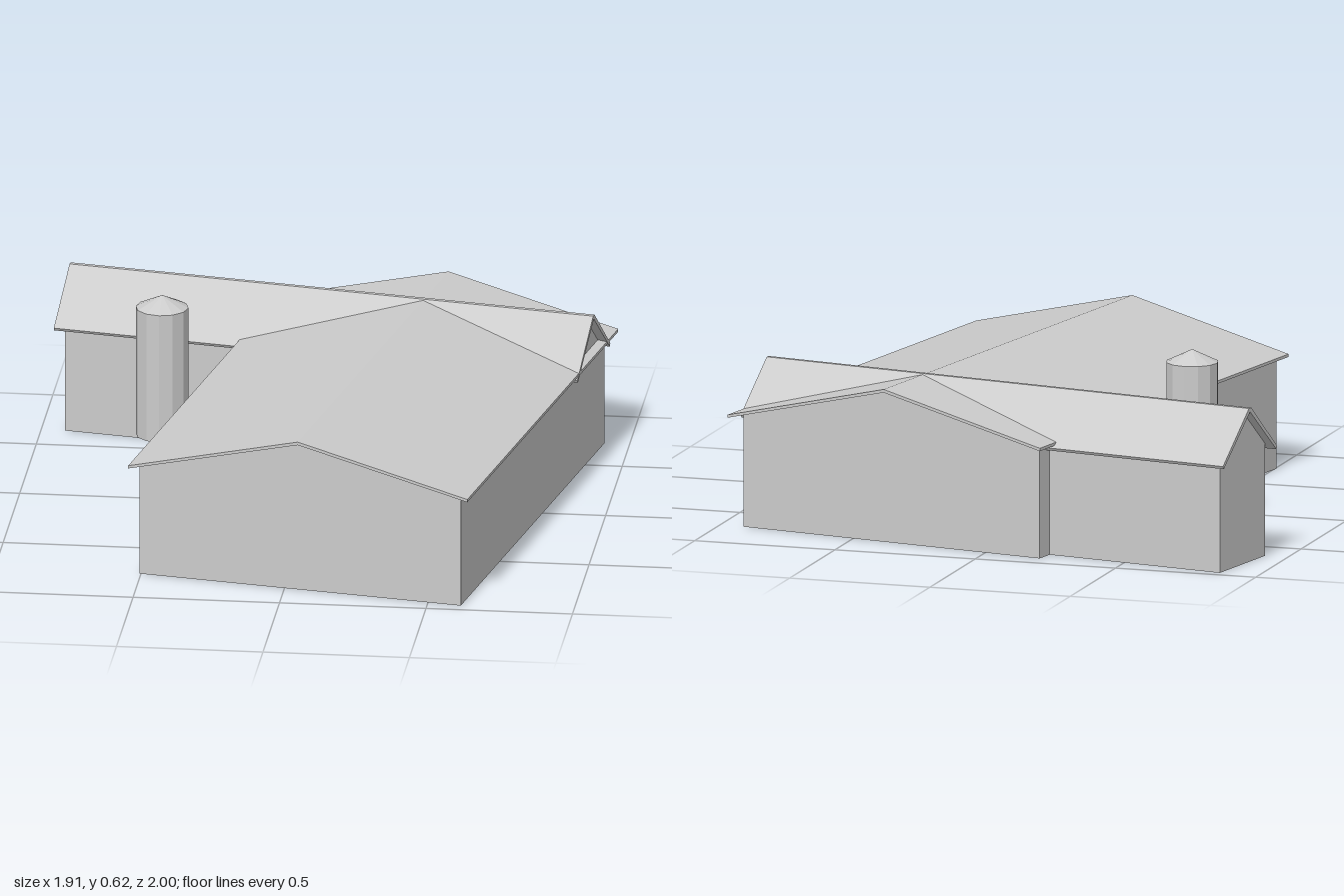
import * as THREE from 'three';

const mat = new THREE.MeshStandardMaterial({ color: 0xcccccc, flatShading: true, side: THREE.DoubleSide });

function mesh(name, geometry, parent) {
  const m = new THREE.Mesh(geometry, mat);
  m.name = name;
  parent.add(m);
  return m;
}

const shape = (pts) => new THREE.Shape(pts.map(([x, y]) => new THREE.Vector2(x, y)));

// Gable end: flat wall with a pointed top, facing +z
function gableWall(halfWidth, bottom, eave, peak) {
  return new THREE.ShapeGeometry(shape([
    [-halfWidth, bottom], [halfWidth, bottom], [halfWidth, eave], [0, peak], [-halfWidth, eave]]));
}

// Thin folded roof, running along z from z0 to z1
function roof(profile, z0, z1) {
  const g = new THREE.ExtrudeGeometry(shape(profile), { depth: z1 - z0, bevelEnabled: false });
  return g.translate(0, 0, z0);
}

export function createModel() {
  const model = new THREE.Group();
  model.name = 'farmBuilding';

  // The whole house stands turned by ten degrees
  const house = new THREE.Group();
  house.name = 'house';
  house.position.set(0.207, 0, 0.0025);
  house.rotation.y = -THREE.MathUtils.degToRad(10.1);
  model.add(house);

  // Main hall, open below
  const hw = 0.5685, front = 0.87, back = -0.84, eave = 0.388, peak = 0.53;
  mesh('hallFrontWall', gableWall(hw, 0, eave, peak), house).position.z = front;
  const rear = mesh('hallBackWall', gableWall(hw, 0, eave, peak), house);
  rear.position.z = back;
  rear.rotation.y = Math.PI;
  for (const s of [-1, 1]) {
    const wall = mesh(s > 0 ? 'hallLeftWall' : 'hallRightWall',
      new THREE.PlaneGeometry(front - back, eave), house);
    wall.position.set(s * hw, eave / 2, (front + back) / 2);
    wall.rotation.y = s * Math.PI / 2;
  }
  mesh('hallRoof', roof([
    [-0.6, 0.385], [0, 0.53], [0.6, 0.385], [0.6, 0.395], [0, 0.541], [-0.6, 0.395]],
    -0.8985, 0.8985), house);

  // Narrow wing: group's z axis runs along the house's x axis
  const wing = new THREE.Group();
  wing.name = 'wing';
  wing.position.z = -0.605;
  wing.rotation.y = Math.PI / 2;
  house.add(wing);

  const ww = 0.163, wingEnd = -1.222, wingEave = 0.39;
  const end = mesh('wingEndWall', gableWall(ww, 0, wingEave, 0.53), wing);
  end.position.z = wingEnd;
  end.rotation.y = Math.PI;
  for (const s of [-1, 1]) {
    const wall = mesh('wingSideWall', new THREE.PlaneGeometry(-hw - wingEnd, wingEave), wing);
    wall.position.set(s * ww, wingEave / 2, (wingEnd - hw) / 2);
    wall.rotation.y = s * Math.PI / 2;
  }
  // Small gable on the far side of the hall
  mesh('crossGable', gableWall(ww, 0.38, wingEave, 0.53), wing).position.z = hw + 0.002;
  mesh('wingRoof', roof([
    [-0.19, 0.367], [0, 0.531], [0.19, 0.367], [0.196, 0.377],
    [0.008, 0.544], [-0.008, 0.544], [-0.196, 0.377]], -1.252, 0.601), wing);

  // Round tower with a low conical cap
  const tower = new THREE.Group();
  tower.name = 'tower';
  tower.position.set(-0.548, 0, -0.302);
  model.add(tower);
  mesh('towerBody', new THREE.CylinderGeometry(0.09, 0.09, 0.457, 12), tower).position.y = 0.3535;
  mesh('towerCap', new THREE.ConeGeometry(0.09, 0.043, 12), tower).position.y = 0.6035;

  return model;
}
